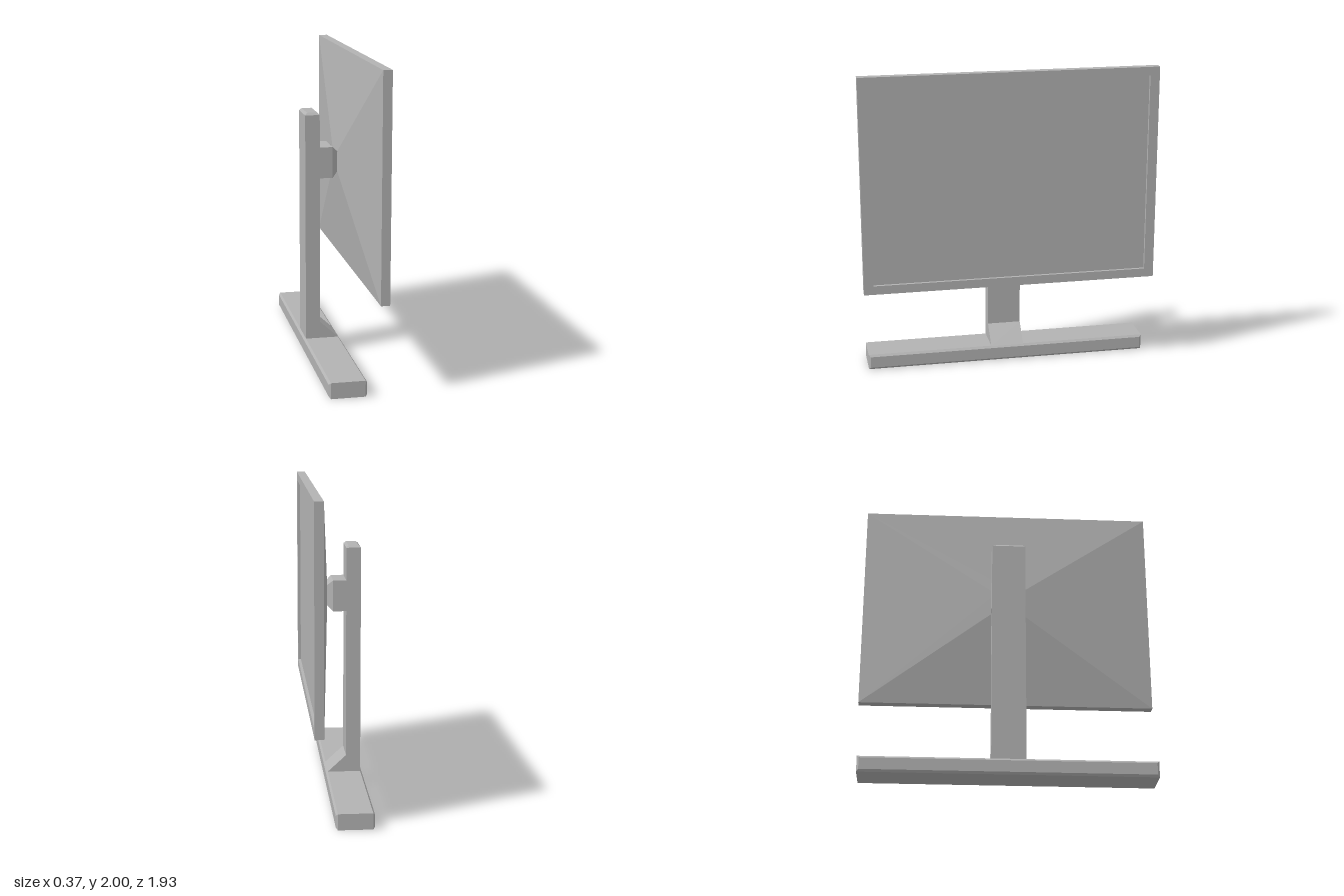
import * as THREE from 'three';

const grey = new THREE.MeshStandardMaterial({ color: 0xb3b3b3 });
grey.name = 'plain grey';

function add(parent, name, geometry) {
  const mesh = new THREE.Mesh(geometry, grey);
  mesh.name = name;
  parent.add(mesh);
  return mesh;
}

// Solid block spanning a..b along one axis; each end has its own cross-section [min1, max1, min2, max2]
// measured on the other two axes in x, y, z order.
function taper(axis, a, b, endA, endB) {
  const g = new THREE.BoxGeometry(1, 1, 1);
  const p = g.attributes.position;
  const [u, v] = [0, 1, 2].filter((i) => i !== axis);
  for (let i = 0; i < p.count; i++) {
    const s = [p.getX(i), p.getY(i), p.getZ(i)];
    const end = s[axis] < 0 ? endA : endB;
    const q = [0, 0, 0];
    q[axis] = s[axis] < 0 ? a : b;
    q[u] = s[u] < 0 ? end[0] : end[1];
    q[v] = s[v] < 0 ? end[2] : end[3];
    p.setXYZ(i, ...q);
  }
  const flat = g.toNonIndexed();
  flat.computeVertexNormals();
  return flat;
}

function box(x0, x1, y0, y1, z0, z1) {
  return taper(0, x0, x1, [y0, y1, z0, z1], [y0, y1, z0, z1]);
}

export function createModel() {
  const model = new THREE.Group();
  model.name = 'monitor';

  // Foot bar with bevelled front and back faces
  const base = new THREE.Group();
  base.name = 'base';
  model.add(base);
  const full = [0, 0.103, -0.938, 0.938];
  const inset = [0.014, 0.089, -0.925, 0.925];
  add(base, 'baseBar', box(-0.175, 0.041, ...full));
  add(base, 'baseFrontBevel', taper(0, 0.041, 0.053, full, inset));
  add(base, 'baseBackBevel', taper(0, -0.187, -0.175, inset, full));

  // Column, wedge foot and arm as one side profile
  const stand = new THREE.Group();
  stand.name = 'stand';
  model.add(stand);
  const profile = new THREE.Shape([
    [-0.175, 0.1], [0.045, 0.1], [-0.08, 0.215], [-0.08, 1.19], [0.005, 1.19],
    [0.005, 1.393], [-0.08, 1.393], [-0.08, 1.605], [-0.175, 1.605],
  ].map(([x, y]) => new THREE.Vector2(x, y)));
  const column = new THREE.ExtrudeGeometry(profile, { depth: 0.22, bevelEnabled: false });
  add(stand, 'column', column.translate(0, 0, -0.11));
  add(stand, 'columnCap', taper(1, 1.605, 1.62, [-0.175, -0.08, -0.11, 0.11], [-0.16, -0.094, -0.096, 0.096]));
  add(stand, 'armTip', taper(0, 0.005, 0.042, [1.19, 1.393, -0.11, 0.11], [1.225, 1.358, -0.076, 0.076]));

  // Screen: shallow pyramid back, frame and recessed display
  const screen = new THREE.Group();
  screen.name = 'screen';
  model.add(screen);
  const outline = [0.58, 2, -0.965, 0.965];
  add(screen, 'screenBack', taper(0, 0.042, 0.125, [1.225, 1.358, -0.076, 0.076], outline));
  add(screen, 'display', box(0.125, 0.163, 0.638, 1.943, -0.903, 0.903));
  const rect = (Type, z, y0, y1) => new Type([[-z, y0], [z, y0], [z, y1], [-z, y1]].map(([a, b]) => new THREE.Vector2(a, b)));
  const frame = rect(THREE.Shape, 0.965, 0.58, 2);
  frame.holes.push(rect(THREE.Path, 0.903, 0.638, 1.943));
  const frameGeometry = new THREE.ExtrudeGeometry(frame, { depth: 0.057, bevelEnabled: false });
  add(screen, 'frame', frameGeometry.rotateY(Math.PI / 2).translate(0.125, 0, 0));

  return model;
}
